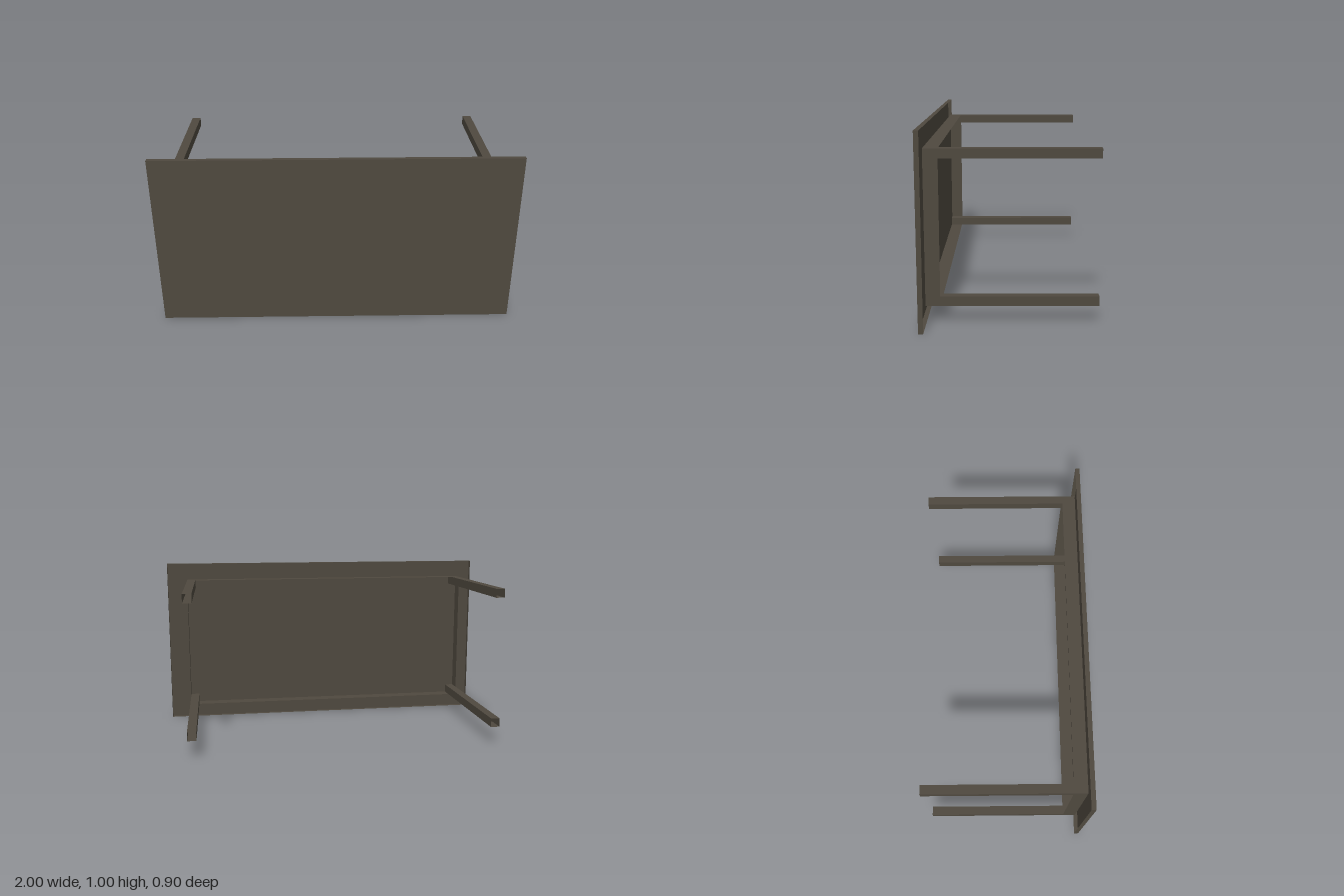
import * as THREE from 'three';

export function createModel() {
  const model = new THREE.Group();
  const darkBrown = new THREE.MeshStandardMaterial({ color: 0x4f493f, side: THREE.DoubleSide });
  darkBrown.name = 'darkBrown';

  // Thin-walled box between two corners, open on its back (-z) side
  const addOpenBox = (name, x0, x1, y0, y1, z0, z1) => {
    const geometry = new THREE.BoxGeometry(x1 - x0, y1 - y0, z1 - z0)
      .translate((x0 + x1) / 2, (y0 + y1) / 2, (z0 + z1) / 2);
    geometry.setIndex([...geometry.index.array].slice(0, 30)); // drop the -z face
    geometry.clearGroups();
    const mesh = new THREE.Mesh(geometry, darkBrown);
    mesh.name = name;
    model.add(mesh);
  };

  const left = 0.875, right = -0.9, bottom = 0.1, top = 0.9;
  const legSize = 0.05, boardZ = 0.425;

  // Table top standing on its long edge: a shallow tray with a rim
  addOpenBox('tableTop', -1, 1, 0, 1, boardZ, 0.45);

  // Thin apron walls around the underside
  addOpenBox('apron', right, left, bottom, top, 0.35, boardZ);

  // Hollow square legs in the apron corners, open at the foot
  for (const [side, x] of [['right', right], ['left', left - legSize]]) {
    for (const [level, y] of [['Upper', top - legSize], ['Lower', bottom]]) {
      addOpenBox(`${side}${level}Leg`, x, x + legSize, y, y + legSize, -0.45, boardZ);
    }
  }
  return model;
}
